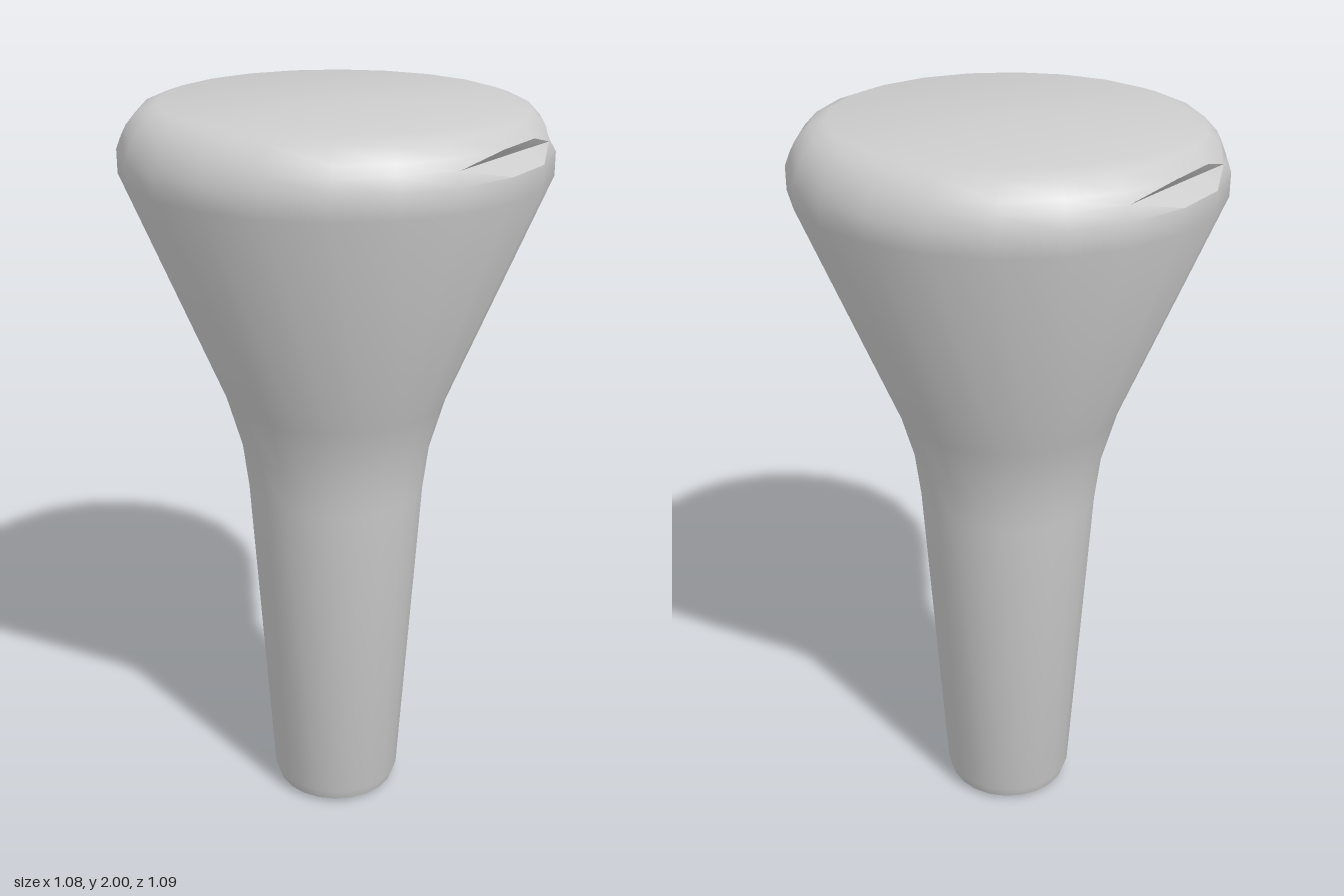
import * as THREE from 'three';
import { toCreasedNormals } from 'three/addons/utils/BufferGeometryUtils.js';

const SIDES = 22;

// Outline from the foot to the top; the row at y = 1.925 is the floor of the notches
const PROFILE = [
  [0, 0], [0.148, 0], [0.17, 0.012], [0.181, 0.045], [0.24, 0.96], [0.255, 1.08], [0.295, 1.22],
  [0.547, 1.83], [0.547, 1.89], [0.533, 1.925], [0.52, 1.95], [0.487, 1.985], [0.445, 2], [0, 2],
].map(([r, y]) => new THREE.Vector2(r, y));

// Presses a shallow V-shaped grip notch into the rim, starting at a given column
function cutNotch(geometry, column, sign) {
  const n = PROFILE.length;
  const floor = PROFILE.findIndex((p) => p.y === 1.925);
  const pos = geometry.attributes.position;
  const chord = [[0.402, 0.349], [0.45, 0.21], [0.5, 0.07], [0.533, -0.02]];
  chord.forEach(([x, z], k) => {
    pos.setXYZ((column + k) * n + floor, sign * x, 1.925, sign * z);
  });
  // Turn two diagonals so that the notch tapers to a point at both ends
  for (const [i, j] of [[column, floor], [column + 2, floor - 1]]) {
    const a = i * n + j, b = a + n, c = b + 1, d = a + 1;
    const start = (i * (n - 1) + j) * 6;
    [a, b, c, a, c, d].forEach((v, k) => geometry.index.setX(start + k, v));
  }
}

export function createModel() {
  const group = new THREE.Group();
  group.name = 'flaredPeg';

  const grey = new THREE.MeshStandardMaterial({ color: 0xcccccc });
  grey.name = 'lightGrey';

  // Tapered stem flaring into a round head, with two opposite notches
  const lathe = new THREE.LatheGeometry(PROFILE, SIDES);
  cutNotch(lathe, 3, 1);
  cutNotch(lathe, 3 + SIDES / 2, -1);

  const body = new THREE.Mesh(toCreasedNormals(lathe, 0.62), grey);
  body.name = 'stemAndHead';
  group.add(body);
  return group;
}
